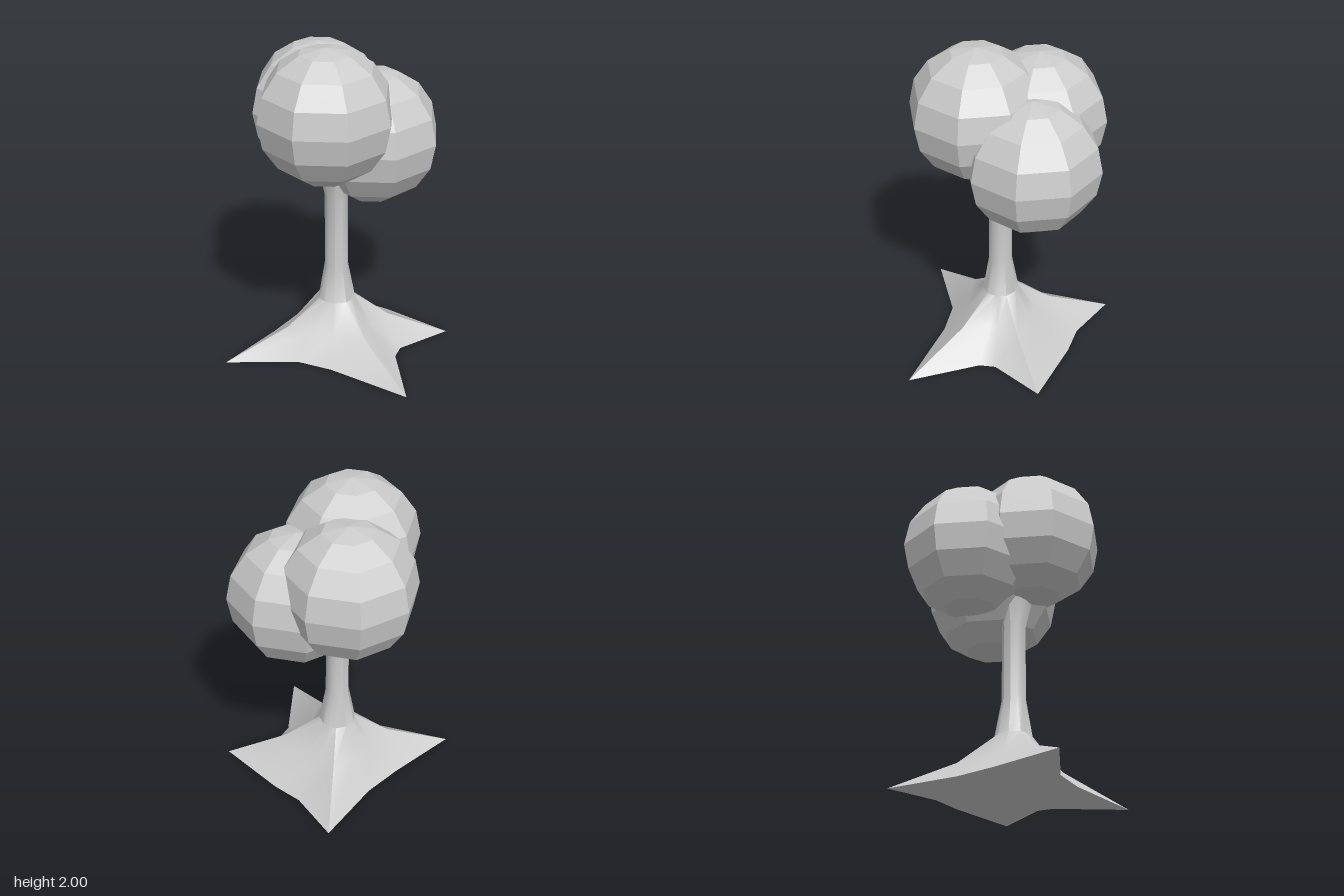
import * as THREE from 'three';
import { toCreasedNormals } from 'three/addons/utils/BufferGeometryUtils.js';

const CX = -0.022, CZ = 0.043; // trunk axis

// Outline of the roots on the ground: a tip followed by two valley points, four times
const BASE = [
  [-0.51, 0.595], [-0.115, 0.395], [0.11, 0.385],
  [0.645, 0.455], [0.4, 0.07], [0.39, -0.03],
  [0.57, -0.345], [0.117, -0.434], [-0.083, -0.448],
  [-0.405, -0.575], [-0.386, -0.12], [-0.42, 0.14],
];

// Rings above the ground: height, radius on the root ridges, radius in the valleys
const RINGS = [
  [0.16, 0.33, 0.225],
  [0.32, 0.115, 0.11],
  [0.55, 0.073, 0.073],
  [1.02, 0.071, 0.071],
  [1.2, 0.115, 0.115],
];

function trunkGeometry() {
  const n = BASE.length;
  const pos = [], index = [];
  for (const [x, z] of BASE) pos.push(x, 0, z);
  for (const [y, ridge, valley] of RINGS) {
    BASE.forEach(([x, z], i) => {
      const angle = Math.atan2(x - CX, z - CZ);
      const r = i % 3 === 0 ? ridge : valley;
      pos.push(CX + r * Math.sin(angle), y, CZ + r * Math.cos(angle));
    });
  }
  const bottom = pos.length / 3, top = bottom + 1;
  pos.push(CX, 0, CZ, CX, 1.2, CZ);
  for (let i = 0; i < n; i++) {
    const k = (i + 1) % n;
    for (let j = 0; j < RINGS.length; j++) {
      const a = j * n + i, b = j * n + k;
      index.push(a, b, b + n, a, b + n, a + n);
    }
    const t = RINGS.length * n;
    index.push(bottom, k, i, top, t + i, t + k);
  }
  const geo = new THREE.BufferGeometry();
  geo.setAttribute('position', new THREE.Float32BufferAttribute(pos, 3));
  geo.setIndex(index);
  return toCreasedNormals(geo, 0.6);
}

export function createModel() {
  const tree = new THREE.Group();
  tree.name = 'tree';

  // Trunk flaring into four pointed roots
  const trunk = new THREE.Mesh(trunkGeometry(), new THREE.MeshStandardMaterial({ color: 0xcccccc }));
  trunk.name = 'trunkAndRoots';
  tree.add(trunk);

  // Three overlapping faceted balls of leaves
  const leaf = new THREE.MeshStandardMaterial({ color: 0xcccccc, flatShading: true });
  const ball = new THREE.SphereGeometry(0.416, 8, 8);
  const crowns = {
    frontFoliage: [-0.02, 1.584, 0.183],
    rightFoliage: [-0.232, 1.494, -0.142],
    leftFoliage: [0.108, 1.352, -0.188],
  };
  for (const [name, p] of Object.entries(crowns)) {
    const crown = new THREE.Mesh(ball, leaf);
    crown.name = name;
    crown.position.set(...p);
    tree.add(crown);
  }
  return tree;
}
